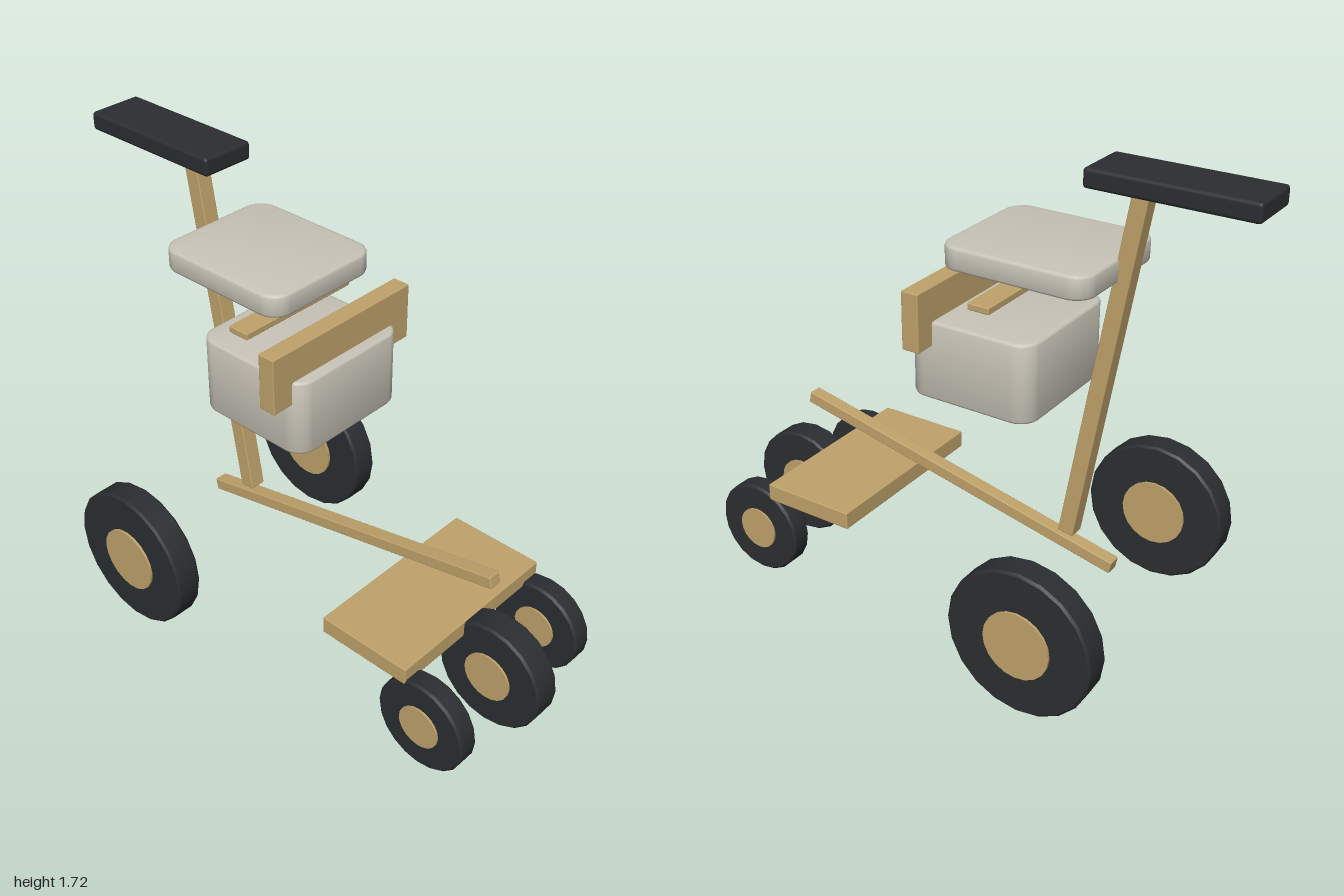
import * as THREE from 'three';
import { toCreasedNormals } from 'three/addons/utils/BufferGeometryUtils.js';
import { RoundedBoxGeometry } from 'three/addons/geometries/RoundedBoxGeometry.js';

const wood = new THREE.MeshStandardMaterial({ color: 0xc0a36b });
const rubber = new THREE.MeshStandardMaterial({ color: 0x2b2e31 });
const plastic = new THREE.MeshStandardMaterial({ color: 0xc8c4b8 });

export function createModel() {
  const model = new THREE.Group();

  const add = (name, geometry, material, x, y, z, parent = model) => {
    const mesh = new THREE.Mesh(geometry, material);
    mesh.name = name;
    mesh.position.set(x, y, z);
    parent.add(mesh);
    return mesh;
  };

  // Box with rounded edges
  const bar = (name, material, size, pos, radius = 0.004) =>
    add(name, new RoundedBoxGeometry(...size, 2, radius), material, ...pos);

  // Block with rounded vertical corners and a small bevel on top and bottom
  const cushion = (name, [w, h, d], [x, y, z], r = 0.06, bevel = 0.01) => {
    const a = w / 2 - bevel, b = d / 2 - bevel, q = Math.PI / 2;
    const shape = new THREE.Shape();
    shape.absarc(a - r, b - r, r, 0, q);
    shape.absarc(r - a, b - r, r, q, 2 * q);
    shape.absarc(r - a, r - b, r, 2 * q, 3 * q);
    shape.absarc(a - r, r - b, r, 3 * q, 4 * q);
    const geo = new THREE.ExtrudeGeometry(shape, {
      depth: h - 2 * bevel, bevelThickness: bevel, bevelSize: bevel, bevelSegments: 2, curveSegments: 6,
    });
    geo.translate(0, 0, bevel - h / 2).rotateX(-Math.PI / 2);
    add(name, toCreasedNormals(geo, 0.9), plastic, x, y, z);
  };

  // Wheel: tyre with softened rims and a hub that stands slightly proud
  const wheel = (name, x, z, radius, width, hubRadius, hubWidth) => {
    const group = new THREE.Group();
    group.name = name;
    group.position.set(x, radius, z);
    const c = 0.008, w = width / 2;
    const profile = [[0, -w], [radius - c, -w], [radius, c - w], [radius, w - c], [radius - c, w], [0, w]]
      .map(([px, py]) => new THREE.Vector2(px, py));
    const tyre = toCreasedNormals(new THREE.LatheGeometry(profile, 20), 0.6).rotateX(Math.PI / 2);
    const hub = new THREE.CylinderGeometry(hubRadius, hubRadius, hubWidth, 20).rotateX(Math.PI / 2);
    add('tyre', tyre, rubber, 0, 0, 0, group);
    add('hub', hub, wood, 0, 0, 0, group);
    model.add(group);
  };

  // Handle and its leaning post
  bar('handle', rubber, [0.57, 0.065, 0.2], [-0.715, 1.683, 0], 0.012);
  bar('handlePost', wood, [0.058, 1.32, 0.06], [-0.485, 1.03, 0]).rotation.z = THREE.MathUtils.degToRad(9.8);

  // Rising frame beam and foot board
  bar('frameBeam', wood, [1.33, 0.045, 0.05], [0.1, 0.438, 0]).rotation.z = THREE.MathUtils.degToRad(12.2);
  bar('footBoard', wood, [0.36, 0.065, 0.715], [0.5, 0.353, 0]);

  // Seat, storage box, slat and crossboard
  cushion('seat', [0.535, 0.08, 0.47], [-0.262, 1.385, 0]);
  cushion('storageBox', [0.47, 0.28, 0.5], [-0.115, 1.02, 0]);
  bar('slat', wood, [0.082, 0.024, 0.49], [-0.158, 1.246, 0]);
  bar('crossboard', wood, [0.065, 0.205, 0.65], [0.048, 1.178, 0]);

  // Large wheel pair, small wheel pair and middle wheel
  for (const side of [-1, 1]) {
    const label = side > 0 ? 'Front' : 'Back';
    wheel('largeWheel' + label, -0.488, side * 0.47, 0.268, 0.1, 0.123, 0.118);
    wheel('smallWheel' + label, 0.746, side * 0.318, 0.176, 0.078, 0.08, 0.092);
  }
  wheel('middleWheel', 0.79, 0, 0.208, 0.105, 0.092, 0.12);

  return model;
}
